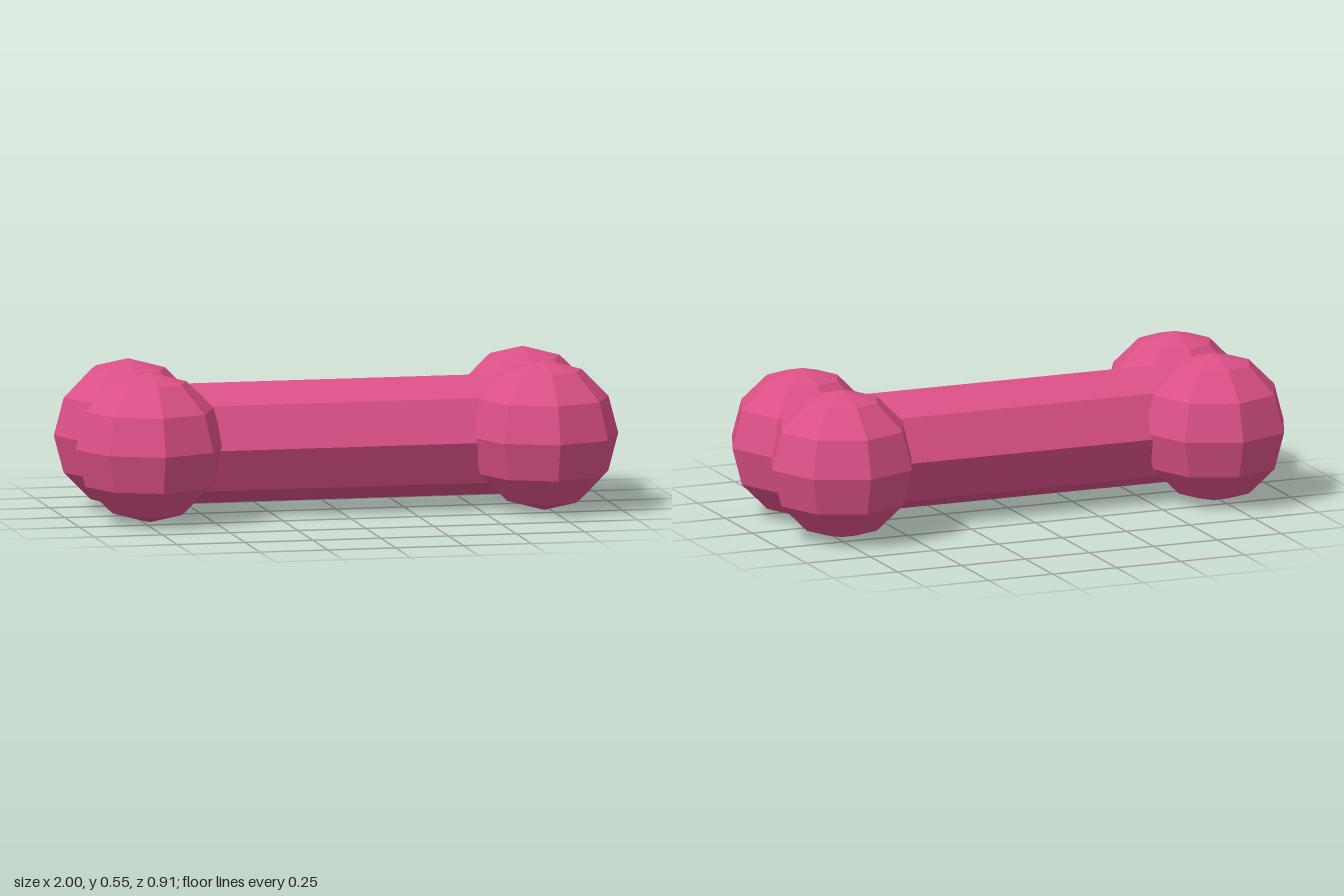
import * as THREE from 'three';

const U = 1 / 11; // design unit

export function createModel() {
  const model = new THREE.Group();
  model.name = 'bone';
  const pink = new THREE.MeshStandardMaterial({ color: 0xdb5087 });
  pink.name = 'pink';
  pink.flatShading = true;

  // Octagonal shaft lying along x, with corners pointing up, down, front and back
  const shaftGeometry = new THREE.CylinderGeometry(2.4 * U, 2.4 * U, 14 * U, 8);
  shaftGeometry.rotateZ(Math.PI / 2);
  const shaft = new THREE.Mesh(shaftGeometry, pink);
  shaft.name = 'shaft';
  shaft.position.y = 2.81 * U;
  model.add(shaft);

  // Two faceted knobs at each end
  const knobGeometry = new THREE.SphereGeometry(3 * U, 8, 6);
  for (const x of [-1, 1]) {
    for (const z of [-1, 1]) {
      const knob = new THREE.Mesh(knobGeometry, pink);
      knob.name = (z > 0 ? 'front' : 'back') + (x > 0 ? 'Left' : 'Right') + 'Knob';
      knob.position.set(x * 8 * U, 3 * U, z * 2 * U);
      model.add(knob);
    }
  }
  return model;
}
